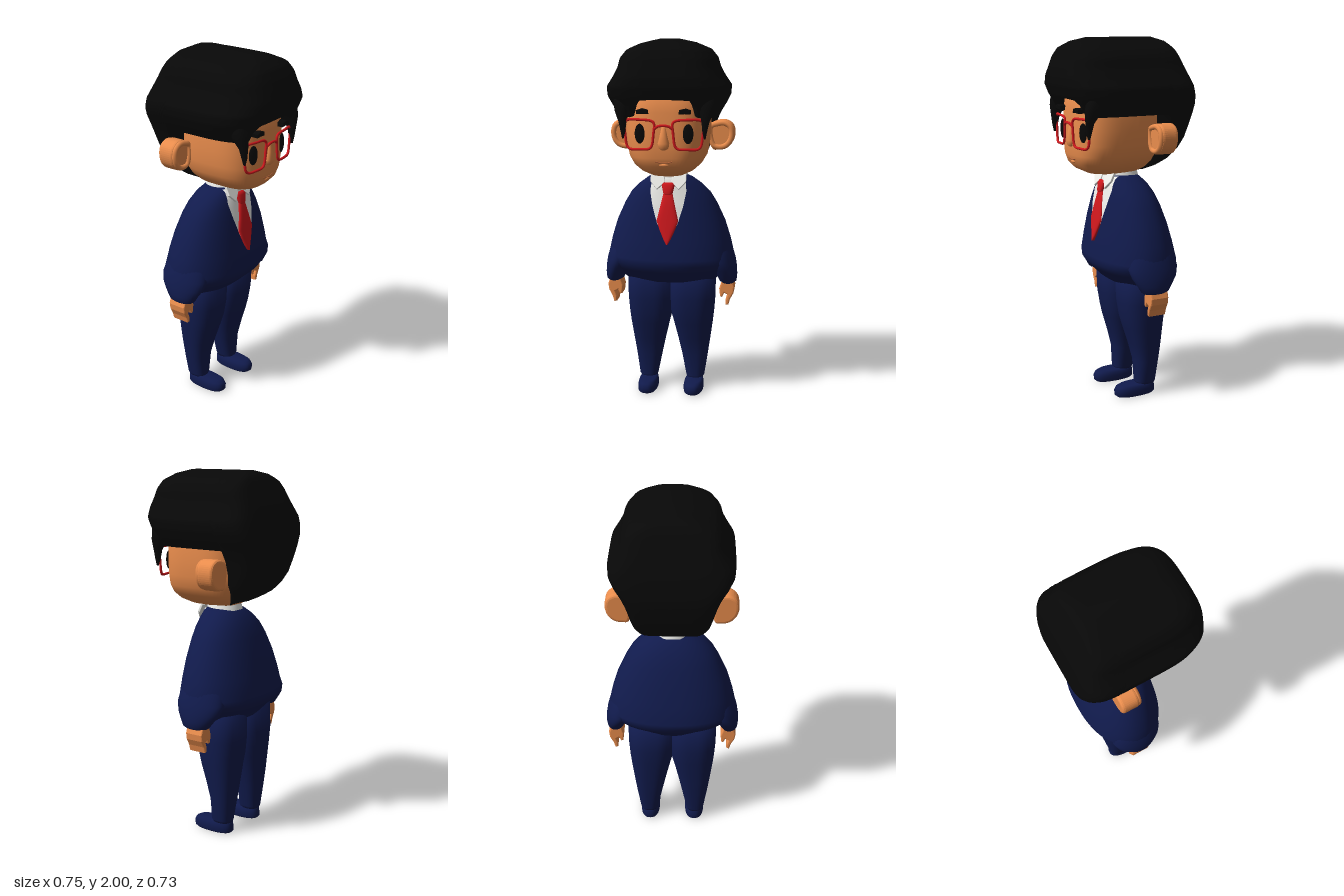
import * as THREE from 'three';

const mat = (color) => new THREE.MeshStandardMaterial({ color, side: THREE.DoubleSide });

// Cross-section rows: [y, xMin, xMax, zBack, zFront]; sym() makes one centred on x = 0
const sym = (rows) => rows.map(([y, w, zb, zf]) => [y, -w, w, zb, zf]);

function rowAt(rows, y) {
  let i = 0;
  while (i < rows.length - 2 && y > rows[i + 1][0]) i++;
  const a = rows[i], b = rows[i + 1];
  const t = THREE.MathUtils.clamp((y - a[0]) / (b[0] - a[0]), 0, 1);
  return a.map((v, k) => v + (b[k] - v) * t);
}

// Point of a superellipse section at angle a
function ringPoint([, x0, x1, zb, zf], a, n, k = 1) {
  const f = (v) => Math.sign(v) * Math.abs(v) ** (2 / n);
  return [(x0 + x1) / 2 + k * f(Math.cos(a)) * (x1 - x0) / 2,
    (zb + zf) / 2 + k * f(Math.sin(a)) * (zf - zb) / 2];
}

// Front surface z of a centred loft
function frontZ(rows, n, x, y) {
  const [, , w, zb, zf] = rowAt(rows, y);
  const r = Math.max(0, 1 - Math.min(1, Math.abs(x / w)) ** n) ** (1 / n);
  return (zb + zf) / 2 + r * (zf - zb) / 2;
}

// Closed skin over rings, bottom to top
function skin(rings, bottom, top) {
  const S = rings[0].length, pos = rings.flat(2), idx = [];
  const last = (rings.length - 1) * S, c0 = rings.length * S, c1 = c0 + 1;
  pos.push(...bottom, ...top);
  for (let j = 0; j < S; j++) {
    const k = (j + 1) % S;
    for (let i = 0; i < rings.length - 1; i++) {
      const p = i * S;
      idx.push(p + j, p + S + j, p + k, p + k, p + S + j, p + S + k);
    }
    idx.push(c0, j, k, c1, last + k, last + j);
  }
  const g = new THREE.BufferGeometry();
  g.setAttribute('position', new THREE.Float32BufferAttribute(pos, 3));
  g.setIndex(idx);
  g.computeVertexNormals();
  return g;
}

function loft(rows, n = 2.5, S = 48) {
  const rings = rows.map((r) => Array.from({ length: S }, (_, j) => {
    const [x, z] = ringPoint(r, j / S * Math.PI * 2, n);
    return [x, r[0], z];
  }));
  const mid = (r) => [(r[1] + r[2]) / 2, r[0], (r[3] + r[4]) / 2];
  return skin(rings, mid(rows[0]), mid(rows[rows.length - 1]));
}

// Strip lying on the front of a loft; widths are [y, halfWidth]
function patch(rows, n, widths, lift) {
  const y0 = widths[0][0], y1 = widths[widths.length - 1][0];
  const g = new THREE.PlaneGeometry(2, 1, 12, 32), p = g.attributes.position;
  for (let i = 0; i < p.count; i++) {
    const y = y0 + (p.getY(i) + 0.5) * (y1 - y0);
    const x = p.getX(i) * rowAt(widths, y)[1];
    p.setXYZ(i, x, y, frontZ(rows, n, x, y) + lift);
  }
  g.computeVertexNormals();
  return g;
}

function mirrored(geo) {
  const g = geo.clone().scale(-1, 1, 1);
  const src = g.index ? [...g.index.array] : Array.from({ length: g.attributes.position.count }, (_, i) => i);
  for (let i = 0; i < src.length; i += 3) [src[i], src[i + 1]] = [src[i + 1], src[i]];
  g.setIndex(src);
  return g;
}

const extrude = (shape, depth, bevel) => new THREE.ExtrudeGeometry(shape, {
  depth: depth - 2 * bevel, bevelSize: bevel, bevelThickness: bevel, bevelOffset: -bevel, bevelSegments: 3, curveSegments: 24,
}).translate(0, 0, -depth / 2 + bevel);
const polygon = (pts) => new THREE.Shape(pts.map((p) => new THREE.Vector2(...p)));
const tube = (pts, r, closed = false) => new THREE.TubeGeometry(
  new THREE.CatmullRomCurve3(pts.map((p) => new THREE.Vector3(...p)), closed), closed ? 64 : 20, r, 8, closed);

const HEAD = sym([
  [1.265, 0.05, -0.06, 0.12], [1.275, 0.09, -0.1, 0.18], [1.3, 0.14, -0.14, 0.235], [1.335, 0.18, -0.17, 0.268],
  [1.38, 0.207, -0.19, 0.28], [1.44, 0.22, -0.2, 0.284], [1.52, 0.226, -0.2, 0.284], [1.62, 0.226, -0.2, 0.28],
  [1.72, 0.215, -0.2, 0.27], [1.78, 0.16, -0.15, 0.2]]);
const JACKET = sym([
  [0.655, 0.24, -0.19, 0.05], [0.67, 0.262, -0.205, 0.07], [0.7, 0.285, -0.225, 0.1], [0.73, 0.315, -0.262, 0.135],
  [0.765, 0.348, -0.286, 0.156], [0.8, 0.358, -0.29, 0.158], [0.9, 0.335, -0.267, 0.145], [1.0, 0.304, -0.24, 0.13],
  [1.1, 0.258, -0.207, 0.113], [1.16, 0.222, -0.18, 0.1], [1.21, 0.172, -0.15, 0.09], [1.245, 0.125, -0.115, 0.08],
  [1.262, 0.09, -0.09, 0.07]]);
const HAIR = sym([
  [1.272, 0.06, -0.06, 0.06], [1.285, 0.11, -0.12, 0.12], [1.315, 0.155, -0.185, 0.18], [1.35, 0.182, -0.245, 0.23],
  [1.4, 0.205, -0.295, 0.27], [1.46, 0.22, -0.332, 0.29], [1.54, 0.241, -0.355, 0.295], [1.6, 0.265, -0.364, 0.3],
  [1.65, 0.298, -0.361, 0.315], [1.7, 0.323, -0.351, 0.342], [1.75, 0.326, -0.338, 0.362], [1.8, 0.292, -0.323, 0.366],
  [1.85, 0.265, -0.303, 0.352], [1.9, 0.252, -0.28, 0.335], [1.945, 0.216, -0.26, 0.31], [1.98, 0.135, -0.235, 0.26],
  [2.0, 0.04, -0.19, 0.19]]);

// Hair: squarer at the back; the lower edge is high over the face, level at the sides, and drops behind the ears
function hairShell() {
  const S = 224, V = 34;
  const front = [[0, 1.69], [0.26, 1.685], [0.36, 1.66], [0.5, 1.595], [1, 1.6]];
  const back = [[0, 1.6], [0.09, 1.6], [0.12, 1.52], [0.16, 1.46], [0.25, 1.39], [0.42, 1.352], [0.7, 1.315], [1, 1.275]];
  const rings = [];
  for (let v = -1; v <= V; v++) {
    rings.push(Array.from({ length: S }, (_, j) => {
      const a = j / S * Math.PI * 2, s = Math.sin(a);
      const e = s < 0 ? rowAt(back, -s)[1] : rowAt(front, Math.abs(Math.cos(a)))[1];
      const y = e + (2 - e) * Math.max(v, 0) / V;
      const [x, z] = ringPoint(rowAt(HAIR, y), a, s < 0 ? 6.5 : 3.5, v < 0 ? 0.8 : 1);
      return [x, y + (v < 0 ? 0.012 : 0), z];
    }));
  }
  return skin(rings, [0, 1.7, 0], [0, 2, 0]);
}

export function createModel() {
  const model = new THREE.Group();
  const skinMat = mat(0xea8d4d), hair = mat(0x080808), navy = mat(0x111b4d);
  const red = mat(0xd0181d), white = mat(0xeeeeea), lip = mat(0xb8653a);
  const add = (name, geo, m) => {
    const mesh = new THREE.Mesh(geo, m);
    mesh.name = name;
    model.add(mesh);
  };
  const pair = (name, geo, m) => {
    add(name + 'Left', geo, m);
    add(name + 'Right', mirrored(geo), m);
  };

  // Head and hair
  add('head', loft(HEAD, 2.9, 64), skinMat);
  add('neck', new THREE.CylinderGeometry(0.075, 0.08, 0.14, 24).translate(0, 1.25, -0.02), skinMat);
  add('hair', hairShell(), hair);
  pair('templeLock', loft([[1.485, 0.212, 0.22, 0.272, 0.284], [1.52, 0.203, 0.227, 0.262, 0.292], [1.57, 0.198, 0.238, 0.25, 0.297],
    [1.63, 0.185, 0.262, 0.21, 0.3], [1.7, 0.18, 0.27, 0.2, 0.29]], 2.3, 20), hair);

  // Ears: slanted slab with a raised rim
  const earOutline = [[0.2, 1.53], [0.25, 1.552], [0.3, 1.555], [0.338, 1.53], [0.35, 1.485],
    [0.338, 1.435], [0.305, 1.4], [0.26, 1.39], [0.22, 1.405]];
  pair('ear', extrude(new THREE.Shape().setFromPoints(
    new THREE.SplineCurve([...earOutline, earOutline[0]].map((p) => new THREE.Vector2(...p))).getPoints(40)), 0.1, 0.016)
    .translate(0, 0, -0.135), skinMat);
  pair('earRim', tube(earOutline.map(([x, y]) => [0.27 + (x - 0.27) * 0.78, 1.474 + (y - 1.474) * 0.8, -0.087]), 0.015, true), skinMat);

  // Face
  const faceZ = (x, y) => frontZ(HEAD, 2.9, x, y);
  pair('eye', new THREE.SphereGeometry(1, 24, 16).scale(0.028, 0.052, 0.012)
    .rotateY(0.25).translate(0.128, 1.51, faceZ(0.128, 1.51) + 0.003), hair);
  pair('eyebrow', extrude(polygon([[0.08, 1.614], [0.084, 1.636], [0.115, 1.643], [0.143, 1.634], [0.141, 1.614], [0.112, 1.616]]), 0.044, 0.005)
    .translate(0, 0, 0.286), hair);
  add('nose', loft(sym([[1.425, 0.012, 0.26, 0.288], [1.435, 0.027, 0.26, 0.3], [1.46, 0.031, 0.26, 0.304],
    [1.5, 0.021, 0.26, 0.298], [1.55, 0.012, 0.26, 0.288]]), 2, 24), skinMat);
  add('mouth', tube([-0.045, -0.02, 0, 0.02, 0.045].map((x) => {
    const y = 1.357 + x * x * 3;
    return [x, y, faceZ(x, y)];
  }), 0.0035), lip);
  add('lowerLip', new THREE.SphereGeometry(1, 16, 10).scale(0.026, 0.009, 0.008).translate(0, 1.344, 0.268), skinMat);

  // Glasses
  pair('glassesRim', tube([[0.062, 1.578, 0.291], [0.13, 1.585, 0.288], [0.192, 1.582, 0.274], [0.207, 1.568, 0.27],
    [0.204, 1.5, 0.27], [0.194, 1.444, 0.272], [0.178, 1.431, 0.277], [0.125, 1.43, 0.288], [0.076, 1.433, 0.291],
    [0.062, 1.447, 0.292], [0.052, 1.51, 0.293], [0.049, 1.566, 0.293]], 0.007, true), red);
  add('glassesBridge', tube([[-0.051, 1.535, 0.293], [-0.025, 1.552, 0.298], [0.025, 1.552, 0.298], [0.051, 1.535, 0.293]], 0.007), red);

  // Jacket, sleeves and hands
  add('jacket', loft(JACKET, 2.2, 64), navy);
  pair('sleeve', loft([[0.645, 0.29, 0.36, -0.125, 0.005], [0.655, 0.274, 0.372, -0.142, 0.02], [0.69, 0.258, 0.375, -0.168, 0.04],
    [0.73, 0.235, 0.373, -0.198, 0.065], [0.78, 0.2, 0.365, -0.215, 0.08], [0.84, 0.16, 0.348, -0.205, 0.075],
    [0.95, 0.12, 0.305, -0.17, 0.05]], 2, 40), navy);
  pair('hand', extrude(polygon([[0.295, 0.67], [0.345, 0.67], [0.362, 0.62], [0.357, 0.585], [0.338, 0.55], [0.328, 0.515],
    [0.312, 0.518], [0.312, 0.545], [0.322, 0.575], [0.305, 0.585], [0.293, 0.56], [0.281, 0.565], [0.276, 0.61]]), 0.108, 0.008)
    .translate(0, 0, -0.072), skinMat);

  // Shirt, collar and tie
  add('shirtFront', patch(JACKET, 2.2, [[0.92, 0.004], [1.0, 0.055], [1.1, 0.085], [1.18, 0.1], [1.255, 0.09]], 0.004), white);
  const collar = new THREE.CylinderGeometry(0.088, 0.105, 0.07, 40, 1, true).translate(0, 1.255, -0.012);
  const cp = collar.attributes.position;
  for (let i = 0; i < cp.count; i++) cp.setY(i, cp.getY(i) - cp.getZ(i) * 0.25);
  collar.computeVertexNormals();
  add('collarBand', collar, white);
  pair('collarWing', extrude(polygon([[0.018, 1.232], [0.06, 1.19], [0.098, 1.235], [0.098, 1.285], [0.06, 1.28], [0.02, 1.262]]), 0.014, 0.003)
    .translate(0, -1.19, 0).rotateX(-0.45).translate(0, 1.19, 0.108), white);
  add('tieBlade', loft(sym([[0.892, 0.004], [0.92, 0.02], [0.97, 0.042], [1.02, 0.06], [1.09, 0.043], [1.17, 0.025]].map(([y, w]) => {
    const z = frontZ(JACKET, 2.2, 0, y);
    return [y, w, z - 0.012, z + 0.016];
  })), 2.6, 32), red);
  add('tieKnot', loft(sym([[1.155, 0.02, 0.07, 0.113], [1.17, 0.026, 0.07, 0.12], [1.215, 0.036, 0.07, 0.112],
    [1.228, 0.03, 0.07, 0.1]]), 3, 24), red);

  // Trousers and shoes
  pair('trouserLeg', loft([[0.06, 0.088, 0.18, -0.158, -0.05], [0.075, 0.083, 0.188, -0.163, -0.044], [0.2, 0.058, 0.207, -0.178, -0.04],
    [0.3, 0.036, 0.222, -0.19, -0.015], [0.4, 0.012, 0.236, -0.2, 0.015], [0.46, -0.004, 0.243, -0.207, 0.03],
    [0.55, -0.012, 0.25, -0.215, 0.045], [0.7, -0.015, 0.252, -0.21, 0.052]], 2.5, 40), navy);
  pair('shoe', loft([[0, 0.083, 0.181, -0.155, 0.07], [0.008, 0.077, 0.187, -0.163, 0.08], [0.035, 0.076, 0.188, -0.163, 0.083],
    [0.055, 0.08, 0.184, -0.16, 0.072], [0.066, 0.09, 0.174, -0.155, 0.05]], 2.5, 40), navy);
  return model;
}
